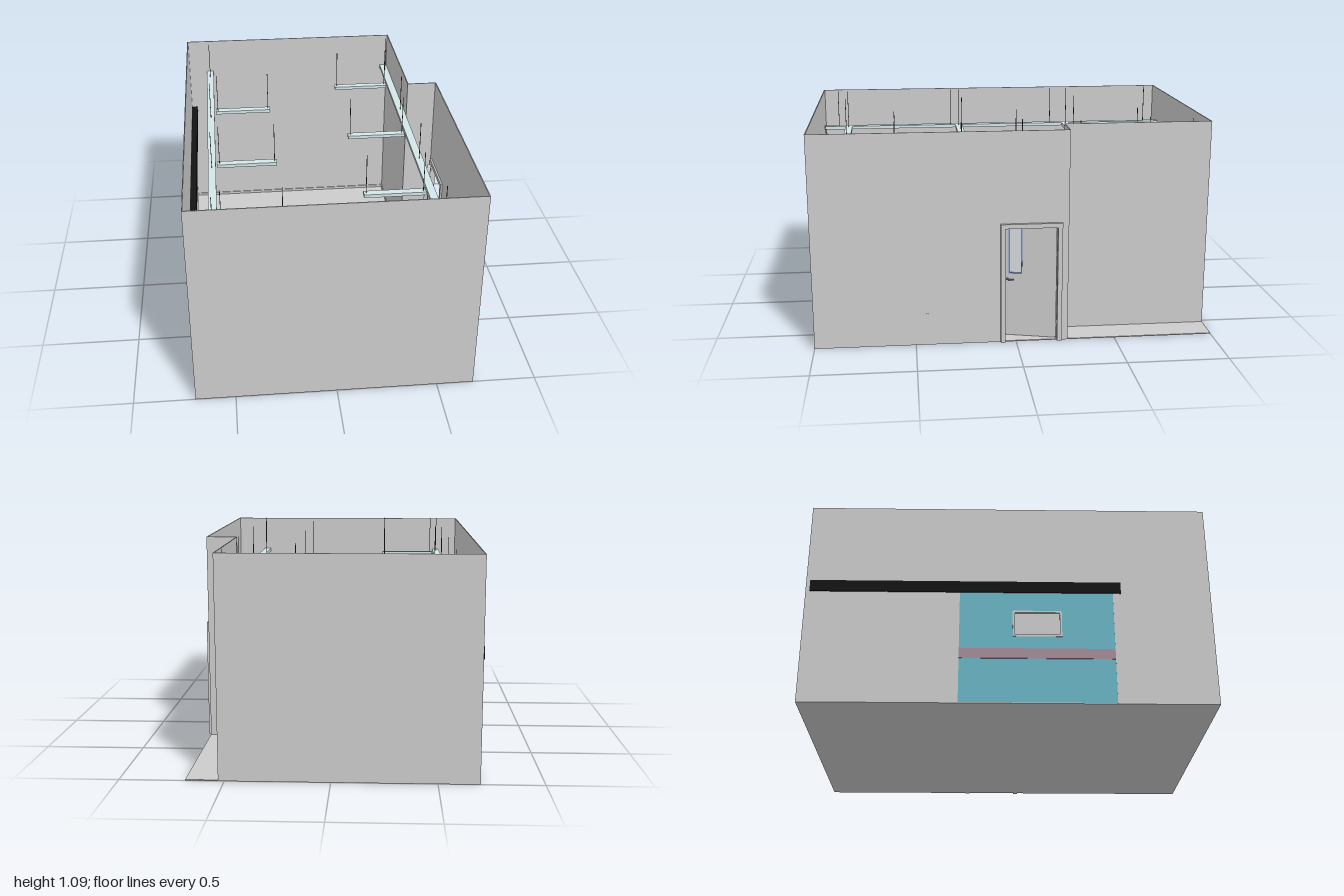
import * as THREE from 'three';

const mat = (color) => new THREE.MeshStandardMaterial({ color });
const grey = mat(0xcccccc), black = mat(0x141414), teal = mat(0x68b4c2), mauve = mat(0xa58c98);
const lampMat = mat(0xd4e6e8), glass = mat(0xd8dce0), blue = mat(0x7f98d0), wireMat = mat(0x444444);

// Box given by its limits on each axis
function box(parent, name, [x0, x1], [y0, y1], [z0, z1], material = grey) {
  const m = new THREE.Mesh(new THREE.BoxGeometry(x1 - x0, y1 - y0, z1 - z0), material);
  m.position.set((x0 + x1) / 2, (y0 + y1) / 2, (z0 + z1) / 2);
  m.name = name;
  parent.add(m);
  return m;
}

const rect = (z0, z1, y0, y1) => [[z0, y0], [z1, y0], [z1, y1], [z0, y1]];

// Panel drawn in (z, y), running from xMax towards -x
function panel(parent, name, points, holes, xMax, depth, material = grey) {
  const toVec = (p) => p.map(([a, b]) => new THREE.Vector2(a, b));
  const shape = new THREE.Shape(toVec(points));
  for (const h of holes) shape.holes.push(new THREE.Path(toVec(h)));
  const geo = new THREE.ExtrudeGeometry(shape, { depth, bevelEnabled: false });
  geo.rotateY(-Math.PI / 2);
  const m = new THREE.Mesh(geo, material);
  m.position.x = xMax;
  m.name = name;
  parent.add(m);
  return m;
}

// Outline of a panel with a doorway reaching the floor
const withDoorway = (z0, z1, top, d0, d1, dTop) =>
  [[z0, 0], [d0, 0], [d0, dTop], [d1, dTop], [d1, 0], [z1, 0], [z1, top], [z0, top]];

function cylinder(parent, name, r, length, pos, axis = 'y', material = grey) {
  const geo = new THREE.CylinderGeometry(r, r, length, 10);
  if (axis === 'x') geo.rotateZ(Math.PI / 2);
  if (axis === 'z') geo.rotateX(Math.PI / 2);
  const m = new THREE.Mesh(geo, material);
  m.position.set(...pos);
  m.name = name;
  parent.add(m);
}

const H = 1.075, T = 0.005, L = -0.698, R = 0.685, NX = 0.53, NZ = -0.26;

function buildShell(root) {
  const g = new THREE.Group();
  g.name = 'roomShell';
  root.add(g);
  box(g, 'floor', [L, R], [0, 0.005], [-1, 1]);
  box(g, 'frontWall', [L, R], [0, H], [1 - T, 1]);
  box(g, 'backWall', [L, NX], [0, H], [-1, -1 + T]);
  box(g, 'recessSideWall', [NX - T, NX], [0, H], [-1, NZ]);
  box(g, 'recessEndWall', [NX - T, R], [0, H], [NZ, NZ + T]);
  panel(g, 'leftSideWall', withDoorway(-1, 1, H, -0.24, 0.53, 0.59), [], L + T, T);
  panel(g, 'rightSideWall', withDoorway(NZ, 1, H, -0.205, 0.058, 0.595), [], R, T);
  // Skirting along the inner faces
  const s = [0.005, 0.02];
  box(g, 'skirting', [L, R - T], s, [0.99, 0.996]);
  box(g, 'skirting', [L, NX - T], s, [-0.996, -0.99]);
  box(g, 'skirting', [NX - 0.01, NX - T], s, [-0.99, NZ]);
  box(g, 'skirting', [R - 0.01, R - T], s, [0.075, 0.99]);
  box(g, 'skirting', [L + T, L + 0.01], s, [-0.99, -0.24]);
  box(g, 'skirting', [L + T, L + 0.01], s, [0.53, 0.99]);
}

function buildSlidingDoor(root) {
  const g = new THREE.Group();
  g.name = 'slidingDoor';
  root.add(g);
  box(g, 'slidingRail', [-0.703, -0.66], [0.59, 0.65], [-0.98, 0.555], black);
  const win = rect(0.02, 0.26, 0.35, 0.49);
  panel(g, 'slidingLeaf', rect(-0.24, 0.515, 0.005, 0.59), [win], -0.678, 0.02, teal);
  panel(g, 'slidingWindowFrame', win, [rect(0.03, 0.25, 0.36, 0.48)], -0.676, 0.024);
  box(g, 'slidingWindowPane', [-0.691, -0.685], [0.36, 0.48], [0.03, 0.25]);
  box(g, 'bumperStrip', [-0.702, -0.674], [0.232, 0.285], [-0.24, 0.515], mauve);
  box(g, 'slidingDoorJamb', [-0.699, -0.676], [0, 0.59], [0.515, 0.53]);
}

function buildHingedDoor(root) {
  const g = new THREE.Group();
  g.name = 'hingedDoor';
  root.add(g);
  panel(g, 'doorFrame', withDoorway(-0.228, 0.078, 0.615, -0.205, 0.055, 0.592), [], 0.70, 0.03);
  // Leaf standing ajar into the room
  const leaf = new THREE.Group();
  leaf.name = 'doorLeaf';
  leaf.position.set(0.674, 0, -0.202);
  leaf.rotation.y = -0.26;
  g.add(leaf);
  const win = rect(0.172, 0.242, 0.335, 0.58);
  panel(leaf, 'leafPanel', rect(0, 0.258, 0.008, 0.588), [win], 0, 0.02);
  panel(leaf, 'leafWindowFrame', win, [rect(0.177, 0.237, 0.34, 0.575)], 0.001, 0.022, blue);
  box(leaf, 'leafWindowPane', [-0.012, -0.008], [0.34, 0.575], [0.177, 0.237], glass);
  for (const side of [-1, 1]) {
    const x = -0.01 + side * 0.02;
    cylinder(leaf, 'handleStem', 0.004, 0.022, [x, 0.31, 0.246], 'x', blue);
    cylinder(leaf, 'handleLever', 0.004, 0.04, [x + side * 0.01, 0.31, 0.23], 'z', blue);
  }
}

function buildBasin(root) {
  const g = new THREE.Group();
  g.name = 'washBasin';
  root.add(g);
  const x = [0.565, 0.68], y = [0.23, 0.285], z = [0.443, 0.62];
  box(g, 'basinBottom', x, [0.23, 0.262], z, black);
  box(g, 'basinFrontRim', [0.565, 0.573], y, z, black);
  box(g, 'basinBackRim', [0.655, 0.68], y, z, black);
  box(g, 'basinSideRim', x, y, [0.443, 0.451], black);
  box(g, 'basinSideRim', x, y, [0.612, 0.62], black);
  cylinder(g, 'drain', 0.008, 0.003, [0.62, 0.263, 0.535]);
  cylinder(g, 'tapPost', 0.004, 0.035, [0.668, 0.3, 0.535], 'y', black);
  cylinder(g, 'tapSpout', 0.003, 0.035, [0.652, 0.316, 0.535], 'x', black);
  cylinder(g, 'wastePipe', 0.006, 0.07, [0.62, 0.197, 0.535]);
  cylinder(g, 'supplyPipe', 0.006, 0.065, [0.655, 0.16, 0.442], 'x');
}

function buildLights(root) {
  const y = [0.863, 0.88];
  const wire = (g, x, z, top) =>
    box(g, 'suspensionWire', [x - 0.0015, x + 0.0015], [0.88, top], [z - 0.0015, z + 0.0015], wireMat);
  // Long strips running the length of the room
  for (const x of [-0.568, 0.505]) {
    const g = new THREE.Group();
    g.name = 'longStripLight';
    root.add(g);
    box(g, 'longLamp', [x - 0.02, x + 0.02], y, [-0.995, 0.995], lampMat);
    for (const z of [-0.91, -0.34, 0.255, 0.91]) wire(g, x, z, 1.085);
  }
  // Short crosswise lamps on either side
  for (const [x0, zs] of [[-0.54, [-0.43, 0.207, 0.853]], [0.17, [-0.7, -0.053, 0.583]]]) {
    for (const z of zs) {
      const g = new THREE.Group();
      g.name = 'shortLight';
      root.add(g);
      box(g, 'shortLamp', [x0, x0 + 0.308], y, [z - 0.02, z + 0.02], lampMat);
      for (const x of [x0 + 0.012, x0 + 0.296]) wire(g, x, z, 1.09);
    }
  }
}

export function createModel() {
  const root = new THREE.Group();
  root.name = 'room';
  buildShell(root);
  buildSlidingDoor(root);
  buildHingedDoor(root);
  buildBasin(root);
  buildLights(root);
  return root;
}
